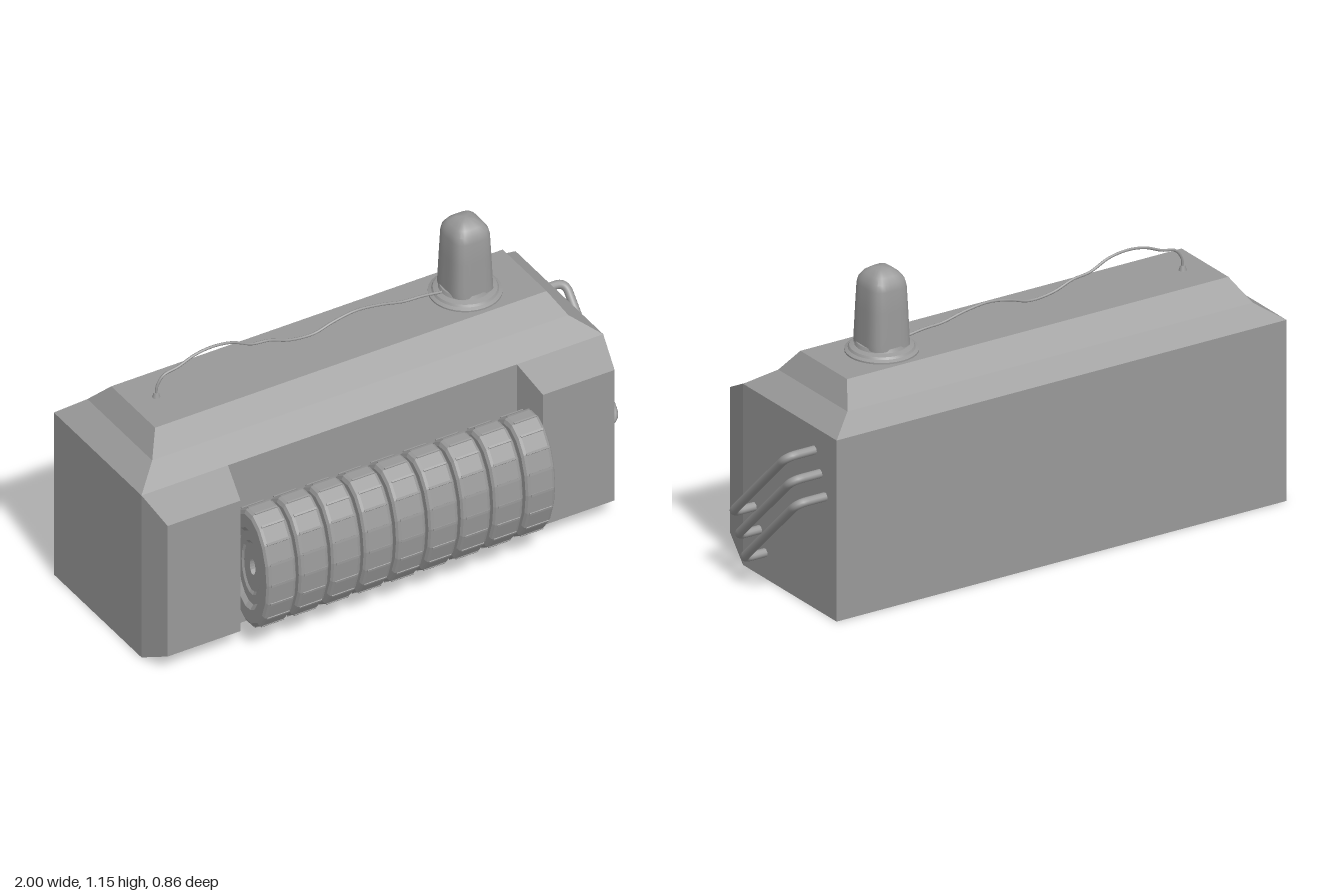
import * as THREE from 'three';
import { mergeGeometries, toCreasedNormals } from 'three/addons/utils/BufferGeometryUtils.js';

const gray = new THREE.MeshStandardMaterial({ color: 0x999999 });
gray.name = 'plain gray';

const V = (x, y, z) => new THREE.Vector3(x, y, z);

function part(name, geometry) {
  const mesh = new THREE.Mesh(geometry, gray);
  mesh.name = name;
  return mesh;
}

// Skins a stack of four-cornered rings, with both ends closed and flat faces.
function loft(rings) {
  const pos = [];
  const quad = (a, b, c, d) => [a, b, c, a, c, d].forEach((p) => pos.push(p.x, p.y, p.z));
  for (let k = 0; k < rings.length - 1; k++) {
    const a = rings[k], b = rings[k + 1];
    for (let i = 0; i < 4; i++) {
      const j = (i + 1) % 4;
      quad(a[i], a[j], b[j], b[i]);
    }
  }
  const [f, l] = [rings[0], rings[rings.length - 1]];
  quad(f[3], f[2], f[1], f[0]);
  quad(l[0], l[1], l[2], l[3]);
  const g = new THREE.BufferGeometry();
  g.setAttribute('position', new THREE.Float32BufferAttribute(pos, 3));
  g.computeVertexNormals();
  return g;
}
const ringY = (y, x0, x1, z0, z1) => [V(x0, y, z1), V(x1, y, z1), V(x1, y, z0), V(x0, y, z0)];
const ringZ = (z, x0, x1, y0, y1) => [V(x0, y0, z), V(x1, y0, z), V(x1, y1, z), V(x0, y1, z)];

function lathe(points, sides) {
  return new THREE.LatheGeometry(points.map(([r, y]) => new THREE.Vector2(r, y)), sides);
}

// One flattened drum disc with a dished hub, an open bore and cross ribs.
function drumGeometry() {
  const side = [[0.033, 0.04], [0.1, 0.04], [0.112, 0.046], [0.15, 0.046], [0.168, 0.06],
    [0.222, 0.06], [0.236, 0.053], [0.242, 0.043]];
  const profile = [
    ...side.map(([r, y]) => [r, -y]),
    ...side.slice().reverse(),
    [side[0][0], -side[0][1]],
  ];
  const disc = lathe(profile, 18).toNonIndexed();
  disc.rotateZ(Math.PI / 2);
  const pieces = [disc];
  for (let i = 0; i < 18; i++) {
    const rib = new THREE.BoxGeometry(0.09, 0.01, 0.01).toNonIndexed();
    rib.translate(0, 0, 0.24);
    rib.rotateX((i / 18) * Math.PI * 2);
    pieces.push(rib);
  }
  const g = mergeGeometries(pieces);
  g.scale(1, 1, 0.5625);
  g.computeVertexNormals();
  return g;
}

// Dome turned on a lathe, then pushed out to a rounded square.
function domeGeometry() {
  const g = lathe([[0.087, 0.86], [0.086, 0.885], [0.081, 1.0], [0.077, 1.08], [0.071, 1.105],
    [0.056, 1.125], [0.03, 1.143], [0, 1.146]], 32);
  const p = g.attributes.position;
  for (let i = 0; i < p.count; i++) {
    const x = p.getX(i), z = p.getZ(i), r = Math.hypot(x, z);
    if (r < 1e-6) continue;
    const k = Math.pow((x / r) ** 4 + (z / r) ** 4, -0.25);
    p.setX(i, x * k * 0.95);
    p.setZ(i, z * k);
  }
  return toCreasedNormals(g, 0.6);
}

// Pipe bracket: two rounded elbows joined by a slanted run.
function pipeGeometry(yTop, zTop, yLow, zLow) {
  const wallTop = V(0.86, yTop, zTop), elbowTop = V(0.985, yTop, zTop);
  const wallLow = V(0.86, yLow, zLow), elbowLow = V(0.966, yLow, zLow);
  const bend = 0.04;
  const toward = (a, b) => a.clone().add(b.clone().sub(a).setLength(bend));
  const path = new THREE.CurvePath();
  const t1 = toward(elbowTop, wallTop), t2 = toward(elbowTop, elbowLow);
  const l1 = toward(elbowLow, elbowTop), l2 = toward(elbowLow, wallLow);
  path.add(new THREE.LineCurve3(wallTop, t1));
  path.add(new THREE.QuadraticBezierCurve3(t1, elbowTop, t2));
  path.add(new THREE.LineCurve3(t2, l1));
  path.add(new THREE.QuadraticBezierCurve3(l1, elbowLow, l2));
  path.add(new THREE.LineCurve3(l2, wallLow));
  return new THREE.TubeGeometry(path, 70, 0.016, 12);
}

export function createModel() {
  const model = new THREE.Group();
  model.name = 'machine';

  // Casing with a stepped hipped top
  model.add(part('casing', loft([
    ringY(0, -1, 0.87, -0.43, 0.155),
    ringY(0.685, -1, 0.87, -0.43, 0.155),
    ringY(0.748, -0.905, 0.78, -0.362, 0.07),
    ringY(0.83, -0.855, 0.73, -0.285, 0.007),
  ])));

  // Front cheeks either side of the drum
  model.add(part('rightCheek', loft([
    ringZ(0.155, -1, -0.65, 0, 0.685), ringZ(0.28, -0.97, -0.675, 0.068, 0.62),
  ])));
  model.add(part('leftCheek', loft([
    ringZ(0.155, 0.52, 0.87, 0, 0.685), ringZ(0.28, 0.55, 0.84, 0.068, 0.62),
  ])));

  // Row of drum discs
  const drum = new THREE.Group();
  drum.name = 'drum';
  const discGeometry = drumGeometry();
  for (let i = 0; i < 9; i++) {
    const disc = part('drumDisc', discGeometry);
    disc.position.set(-0.592 + i * 0.1312, 0.33, 0.29);
    drum.add(disc);
  }
  model.add(drum);

  // Beacon on the roof
  const beacon = new THREE.Group();
  beacon.name = 'beacon';
  beacon.add(part('beaconBase', toCreasedNormals(lathe([[0.13, 0.825], [0.13, 0.836], [0.118, 0.842],
    [0.113, 0.85], [0.095, 0.856], [0.09, 0.868], [0, 0.868]], 32), 0.5)));
  beacon.add(part('beaconDome', domeGeometry()));
  beacon.position.set(0.49, 0, -0.14);
  model.add(beacon);

  // Loose cable running to the beacon
  const cablePoints = [[-0.755, 0.83], [-0.752, 0.875], [-0.725, 0.912], [-0.67, 0.925], [-0.6, 0.952],
    [-0.53, 0.961], [-0.45, 0.95], [-0.37, 0.915], [-0.3, 0.905], [-0.22, 0.877], [-0.12, 0.868],
    [-0.04, 0.89], [0.05, 0.904], [0.15, 0.893], [0.24, 0.873], [0.32, 0.868], [0.41, 0.855]];
  const cablePath = new THREE.CatmullRomCurve3(cablePoints.map(([x, y], i) => V(x, y, -0.15 + i * 0.0004)));
  model.add(part('cable', new THREE.TubeGeometry(cablePath, 90, 0.005, 8)));
  const plug = part('cablePlug', new THREE.CylinderGeometry(0.009, 0.015, 0.02, 12));
  plug.position.set(-0.755, 0.838, -0.15);
  model.add(plug);

  // Slanted pipes on the end wall
  [[0.598, -0.29, 0.247, 0.085], [0.522, -0.325, 0.172, 0.052], [0.446, -0.357, 0.097, 0.018]]
    .forEach((p) => model.add(part('sidePipe', pipeGeometry(...p))));

  return model;
}
